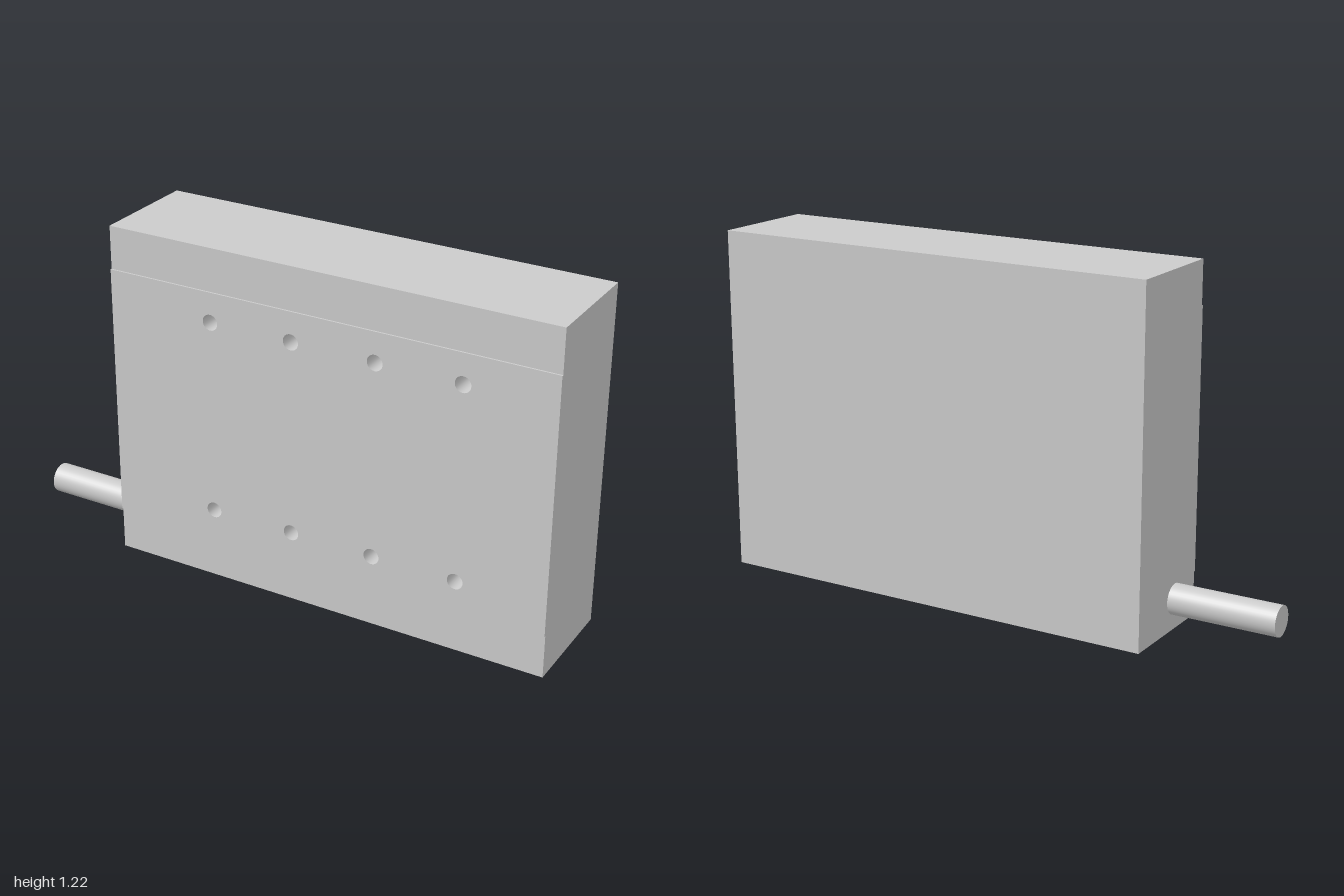
import * as THREE from 'three';

const LEFT = 1, RIGHT = -0.62, TOP = 1.215, BACK = -0.2, FRONT = 0.194, PAD = 0.2;
const PAD_LOW = 0.155, PAD_HIGH = 1.063;
const HOLE_R = 0.028, HOLE_DEPTH = 0.12;

export function createModel() {
  const model = new THREE.Group();
  const grey = new THREE.MeshStandardMaterial({ color: 0xcccccc });
  const inside = new THREE.MeshStandardMaterial({ color: 0xcccccc, side: THREE.BackSide });
  const add = (name, geometry, material = grey) => {
    const mesh = new THREE.Mesh(geometry, material);
    mesh.name = name;
    model.add(mesh);
    return mesh;
  };

  // Housing: side profile (z, y) swept along x
  const profile = new THREE.Shape([
    [BACK, 0], [FRONT, 0], [FRONT, PAD_LOW], [PAD, PAD_LOW],
    [PAD, PAD_HIGH], [FRONT, PAD_HIGH], [FRONT, TOP], [BACK, TOP],
  ].map(([z, y]) => new THREE.Vector2(z, y)));
  const housing = new THREE.ExtrudeGeometry(profile, { depth: LEFT - RIGHT, bevelEnabled: false });
  housing.rotateY(-Math.PI / 2).translate(LEFT, 0, 0);

  // Leave the pad's front open so the drilled face can close it
  const p = housing.attributes.position;
  const keep = [];
  for (let i = 0; i < p.count; i += 3) {
    const onPad = [0, 1, 2].every((k) => Math.abs(p.getZ(i + k) - PAD) < 1e-4);
    if (!onPad) keep.push(i, i + 1, i + 2);
  }
  housing.setIndex(keep);
  add('housing', housing);

  // Raised mounting face with two rows of blind holes
  const face = new THREE.Shape([
    new THREE.Vector2(RIGHT, PAD_LOW), new THREE.Vector2(LEFT, PAD_LOW),
    new THREE.Vector2(LEFT, PAD_HIGH), new THREE.Vector2(RIGHT, PAD_HIGH),
  ]);
  for (const y of [0.26, 0.957]) {
    for (let i = 0; i < 4; i++) {
      const x = -0.23 + i * 0.304;
      face.holes.push(new THREE.Path().absarc(x, y, HOLE_R, 0, Math.PI * 2, true));
      const wall = new THREE.CylinderGeometry(HOLE_R, HOLE_R, HOLE_DEPTH, 24, 1, true);
      add('holeWall', wall.rotateX(Math.PI / 2), inside).position.set(x, y, PAD - HOLE_DEPTH / 2);
      add('holeBottom', new THREE.CircleGeometry(HOLE_R, 24)).position.set(x, y, PAD - HOLE_DEPTH);
    }
  }
  add('mountingFace', new THREE.ShapeGeometry(face, 12)).position.z = PAD;

  // Round cable stub leaving the right side near the bottom
  const cable = new THREE.CylinderGeometry(0.053, 0.053, RIGHT + 1, 40).rotateZ(Math.PI / 2);
  add('cable', cable).position.set((RIGHT - 1) / 2, 0.106, 0.05);

  return model;
}
